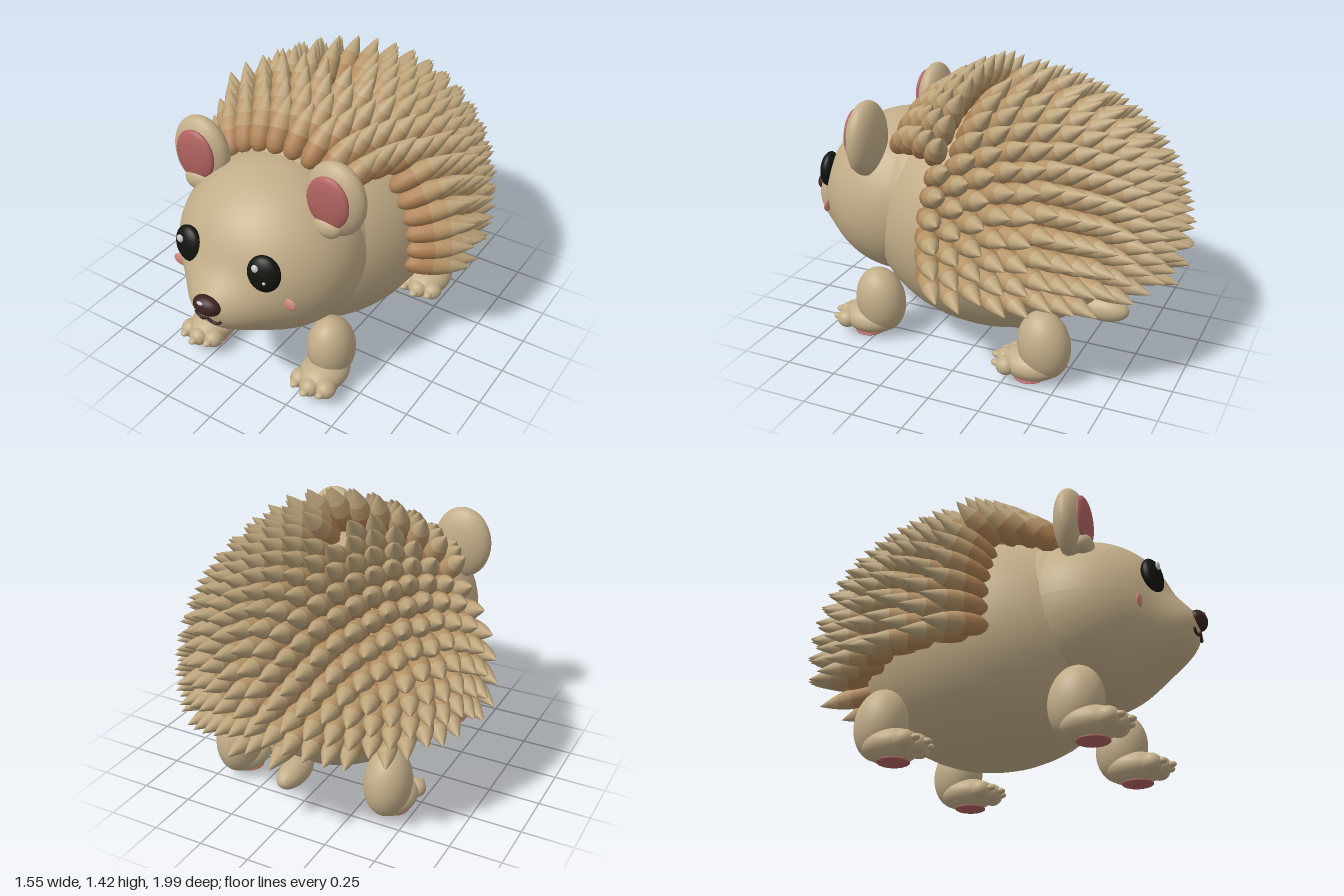
import * as THREE from 'three';
import { mergeGeometries } from 'three/addons/utils/BufferGeometryUtils.js';

const paint = (color) => new THREE.MeshStandardMaterial({ color });
const skin = paint(0xc2ad88), pink = paint(0xb0625f), blush = paint(0xd08c7c);
const black = paint(0x12140f), brown = paint(0x3a231e), white = paint(0xffffff);

const ball = new THREE.SphereGeometry(1, 32, 24);

// Ellipsoid from centre and radii
function blob(parent, name, mat, pos, radii, rot = [0, 0, 0]) {
  const mesh = new THREE.Mesh(ball, mat);
  mesh.name = name;
  mesh.position.set(...pos);
  mesh.scale.set(...radii);
  mesh.rotation.set(...rot);
  parent.add(mesh);
  return mesh;
}

function group(parent, name) {
  const g = new THREE.Group();
  g.name = name;
  parent.add(g);
  return g;
}

const BODY = { c: new THREE.Vector3(0, 0.62, -0.03), r: new THREE.Vector3(0.55, 0.55, 0.66) };

// Round head whose front swells smoothly into the snout
function skullGeometry() {
  const geo = new THREE.SphereGeometry(1, 80, 60).rotateX(-Math.PI / 2);
  geo.scale(0.445, 0.41, 0.42).translate(0, 0.68, 0.45);
  const p = geo.attributes.position;
  for (let i = 0; i < p.count; i++) {
    const x = p.getX(i), y = p.getY(i), z = p.getZ(i);
    if (z < 0.45) continue;
    const q = (x / 0.2) ** 2 + ((y - 0.57) / 0.155) ** 2;
    const swell = Math.exp(-(q ** 1.5));
    p.setZ(i, z + 0.105 * swell);
  }
  geo.computeVertexNormals();
  return geo;
}

function buildHead(root) {
  const head = group(root, 'head');
  const skull = new THREE.Mesh(skullGeometry(), skin);
  skull.name = 'skull';
  head.add(skull);
  blob(head, 'nose', brown, [0, 0.635, 0.957], [0.07, 0.047, 0.043]);
  blob(head, 'noseShine', white, [-0.012, 0.66, 0.988], [0.018, 0.01, 0.008]);

  for (const s of [-1, 1]) {
    // Eye with two highlights
    blob(head, 'eye', black, [s * 0.2, 0.793, 0.81], [0.077, 0.088, 0.042], [-0.1, s * 0.2, 0]);
    blob(head, 'eyeHighlight', white, [s * 0.2 - 0.022, 0.83, 0.843], [0.018, 0.02, 0.01]);
    blob(head, 'eyeGlint', white, [s * 0.2 + 0.025, 0.775, 0.848], [0.008, 0.008, 0.006]);
    blob(head, 'cheek', blush, [s * 0.295, 0.64, 0.77], [0.038, 0.03, 0.01]);

    // Half of the smile
    const smile = new THREE.CatmullRomCurve3([
      [0, 0.575, 0.963], [0.018, 0.558, 0.961], [0.04, 0.552, 0.957], [0.06, 0.56, 0.954], [0.072, 0.574, 0.952],
    ].map(([x, y, z]) => new THREE.Vector3(s * x, y, z)));
    const mouth = new THREE.Mesh(new THREE.TubeGeometry(smile, 16, 0.007, 8), brown);
    mouth.name = 'mouth';
    head.add(mouth);

    // Ear with pink inside and a small lobe
    const ear = group(head, s > 0 ? 'leftEar' : 'rightEar');
    blob(ear, 'outerEar', skin, [s * 0.357, 1.05, 0.492], [0.147, 0.18, 0.075]);
    blob(ear, 'innerEar', pink, [s * 0.352, 1.06, 0.55], [0.104, 0.126, 0.03]);
    blob(ear, 'earLobe', skin, [s * 0.343, 0.935, 0.542], [0.075, 0.056, 0.045]);
  }
}

function buildLeg(root, name, x, z) {
  const leg = group(root, name);
  leg.position.set(x, 0, z);
  blob(leg, 'upperLeg', skin, [0, 0.195, 0], [0.112, 0.168, 0.125], [0.15, 0, 0]);
  blob(leg, 'foot', skin, [0, 0.088, 0.06], [0.112, 0.077, 0.145]);
  blob(leg, 'footPad', pink, [0, 0.013, 0.07], [0.075, 0.013, 0.075]);
  for (const i of [-1, 0, 1]) {
    blob(leg, 'toe', skin, [i * 0.07, 0.085, 0.185 - 0.025 * Math.abs(i)], [0.048, 0.045, 0.05]);
    blob(leg, 'claw', skin, [i * 0.07, 0.088, 0.232 - 0.025 * Math.abs(i)], [0.021, 0.016, 0.028]);
  }
}

// Coat of quills in staggered rings around the body's long axis
function buildQuills(root) {
  const coat = group(root, 'quills');
  // Each quill fades from a brown base to a tan tip
  const bands = [
    ['quillBases', 0xaf8154, [[0, -0.035], [0.024, -0.029], [0.042, 0], [0.05, 0.045], [0.051, 0.1]]],
    ['quillMiddles', 0xb79568, [[0.051, 0.1], [0.048, 0.14], [0.041, 0.18]]],
    ['quillTips', 0xbda57c, [[0.041, 0.18], [0.029, 0.22], [0.014, 0.262], [0, 0.295]]],
  ].map(([name, color, pts]) => ({
    name,
    color,
    shape: new THREE.LatheGeometry(pts.map(([r, y]) => new THREE.Vector2(r, y)), 12),
    copies: [],
  }));
  const up = new THREE.Vector3(0, 1, 0), q = new THREE.Quaternion();
  const { c, r } = BODY;
  const { clamp, mapLinear } = THREE.MathUtils;

  for (let k = 0; k <= 17; k++) {
    const t = k * 0.128;
    const count = Math.max(1, Math.round((2 * Math.PI * 0.55 * Math.sin(t)) / 0.084));
    for (let j = 0; j < count; j++) {
      const a = ((j + (k % 2) / 2) / count) * Math.PI * 2;
      const unit = new THREE.Vector3(Math.sin(t) * Math.sin(a), Math.sin(t) * Math.cos(a), -Math.cos(t));
      const p = unit.clone().multiply(r).add(c);
      if (p.y < 0.495 || (p.z > 0.14 && p.y < 0.98)) continue;
      // Small bare patch on top
      if (p.y > 1.1 && Math.abs(p.x) < 0.07 && p.z > -0.16 && p.z < 0.1) continue;
      const n = unit.clone().divide(r).normalize();
      // The crown stands proud of the body above the ears
      const crown = p.z > 0.1 && p.y > 0.98;
      if (crown) p.addScaledVector(n, 0.04);
      const lean = crown
        ? mapLinear(p.z, 0.1, 0.37, 0.55, 0.95)
        : mapLinear(clamp(p.z, -0.5, 0.1), -0.5, 0.1, 1.05, 0.72);
      const dir = n.multiplyScalar(0.8).add(new THREE.Vector3(0, 0, -lean)).normalize();
      q.setFromUnitVectors(up, dir);
      const m = new THREE.Matrix4().compose(p, q, new THREE.Vector3(1, crown ? 0.85 : 1, 1));
      for (const band of bands) band.copies.push(band.shape.clone().applyMatrix4(m));
    }
  }
  for (const { name, color, copies } of bands) {
    const mesh = new THREE.Mesh(mergeGeometries(copies), paint(color));
    mesh.name = name;
    coat.add(mesh);
  }
}

export function createModel() {
  const root = new THREE.Group();
  root.name = 'hedgehog';
  blob(root, 'body', skin, BODY.c.toArray(), BODY.r.toArray());
  blob(root, 'neck', skin, [0, 0.68, 0.3], [0.44, 0.42, 0.3]);
  blob(root, 'tail', skin, [0, 0.215, -0.575], [0.065, 0.064, 0.13]);
  buildHead(root);
  for (const s of [-1, 1]) {
    const side = s > 0 ? 'Left' : 'Right';
    buildLeg(root, 'front' + side + 'Leg', s * 0.325, 0.475);
    buildLeg(root, 'back' + side + 'Leg', s * 0.405, -0.425);
  }
  buildQuills(root);
  return root;
}
